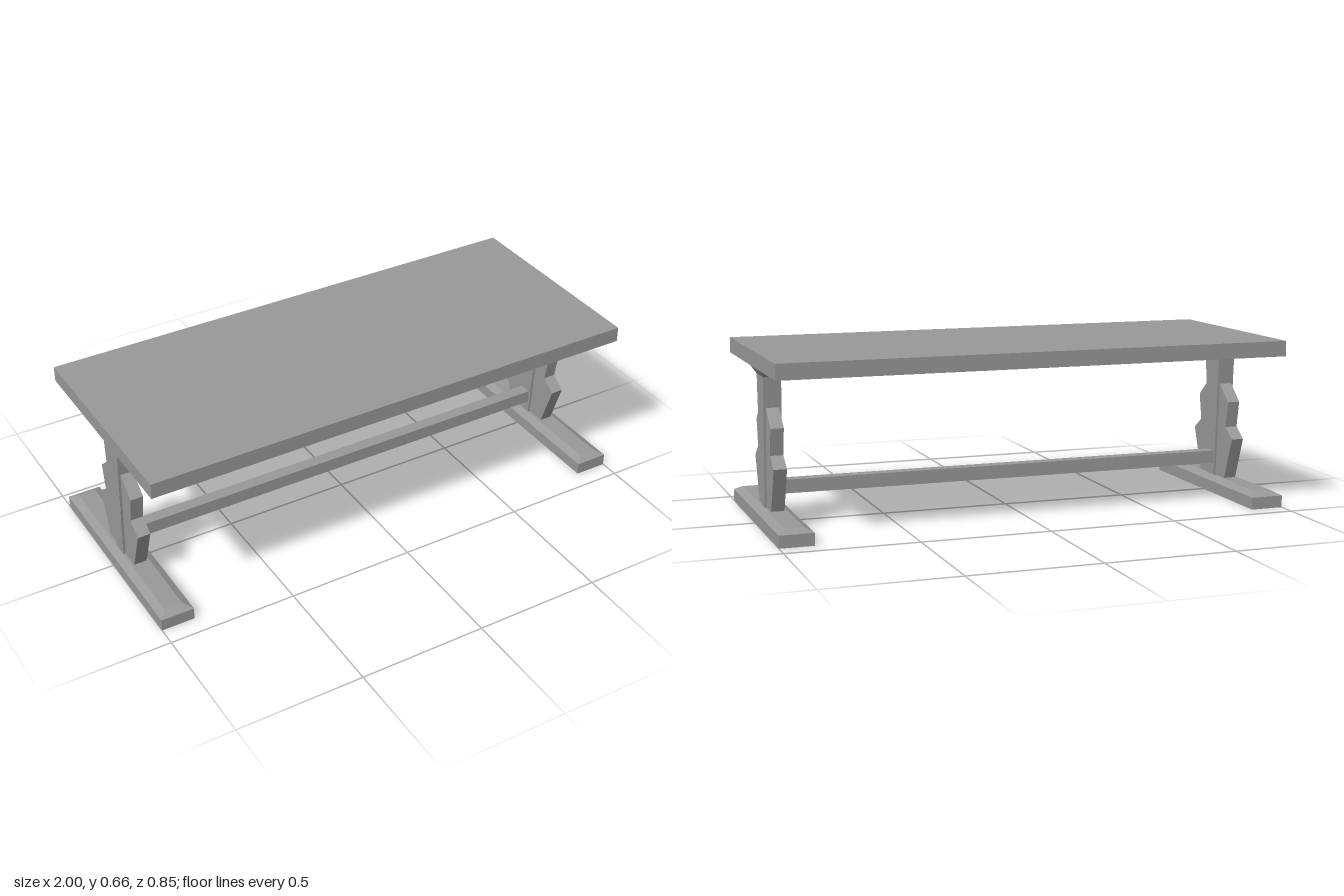
import * as THREE from 'three';

const wood = new THREE.MeshStandardMaterial({ color: 0x999999 });
wood.name = 'grey wood';

function add(parent, name, geometry, x = 0, y = 0, z = 0) {
  const mesh = new THREE.Mesh(geometry, wood);
  mesh.name = name;
  mesh.position.set(x, y, z);
  parent.add(mesh);
  return mesh;
}

// Box from y0 to y1 whose half sizes differ between bottom and top
function taperedBox(y0, y1, [bx, bz], [tx, tz]) {
  const g = new THREE.BoxGeometry(2, 1, 2).toNonIndexed();
  const p = g.attributes.position;
  for (let i = 0; i < p.count; i++) {
    const top = p.getY(i) > 0;
    p.setXYZ(i, p.getX(i) * (top ? tx : bx), top ? y1 : y0, p.getZ(i) * (top ? tz : bz));
  }
  g.computeVertexNormals();
  return g;
}

// Stepped silhouette of the decorative panel, in z and y
function panelGeometry() {
  const half = [[0.108, 0.063], [0.168, 0.232], [0.11, 0.274], [0.128, 0.378], [0.05, 0.446]];
  const mirrored = half.map(([z, y]) => [-z, y]).reverse();
  const shape = new THREE.Shape([...half, ...mirrored].map(([z, y]) => new THREE.Vector2(z, y)));
  const g = new THREE.ExtrudeGeometry(shape, { depth: 0.05, bevelEnabled: false });
  return g.translate(0, 0, -0.025).rotateY(Math.PI / 2);
}

function trestle(name, x) {
  const group = new THREE.Group();
  group.name = name;
  group.position.x = x;
  add(group, 'foot', taperedBox(0, 0.047, [0.065, 0.425], [0.065, 0.425]));
  add(group, 'footBevel', taperedBox(0.047, 0.063, [0.065, 0.425], [0.035, 0.393]));
  add(group, 'post', taperedBox(0.063, 0.56, [0.034, 0.03], [0.034, 0.059]));
  add(group, 'postCapital', taperedBox(0.56, 0.597, [0.034, 0.059], [0.056, 0.112]));
  add(group, 'decorativePanel', panelGeometry());
  return group;
}

export function createModel() {
  const table = new THREE.Group();
  table.name = 'trestleTable';
  add(table, 'tableTop', new THREE.BoxGeometry(2, 0.06, 0.85), 0, 0.627, 0);
  add(table, 'stretcher', new THREE.BoxGeometry(1.82, 0.052, 0.05), 0, 0.137, 0);
  table.add(trestle('leftTrestle', 0.935), trestle('rightTrestle', -0.935));
  return table;
}
